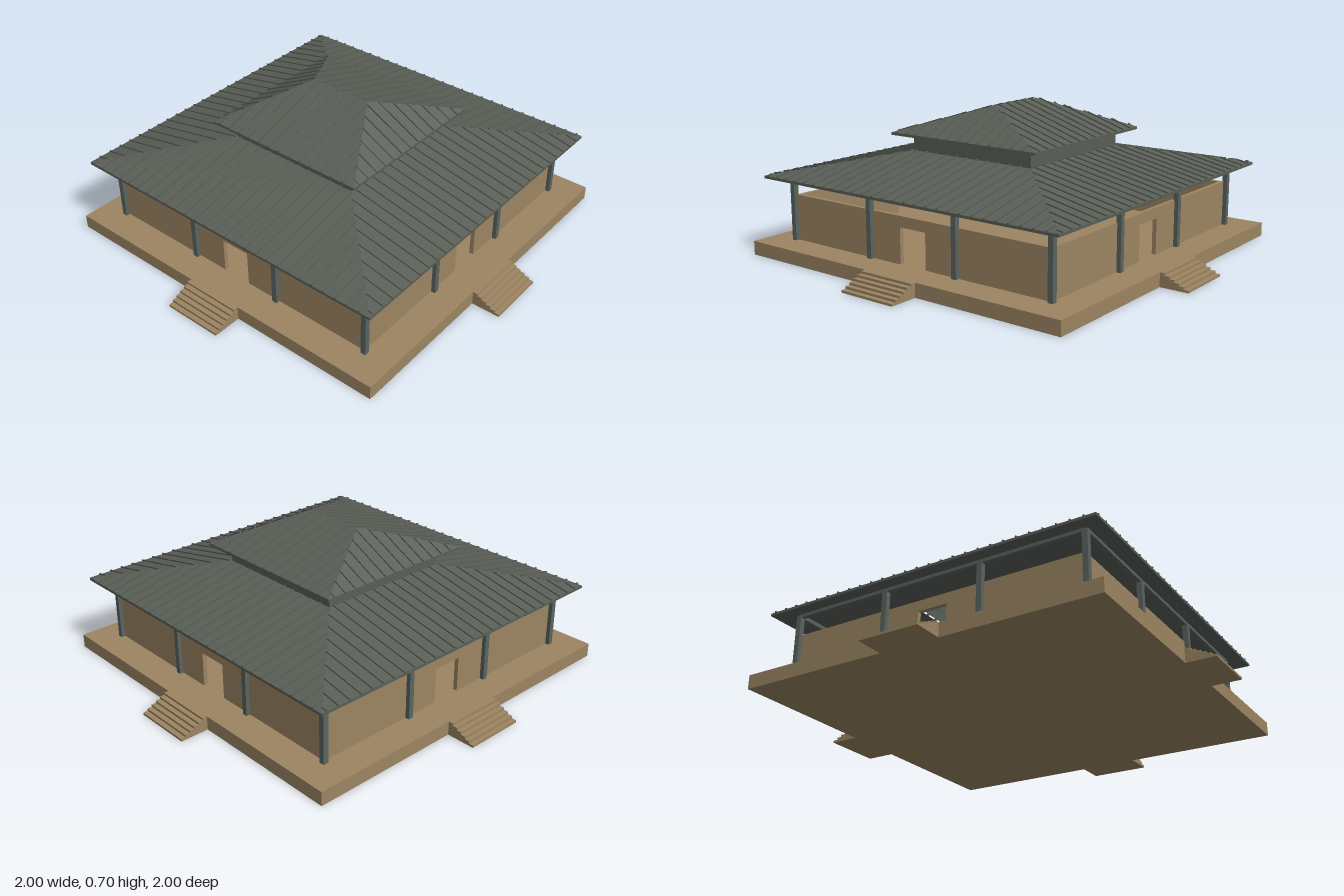
import * as THREE from 'three';

const clay = new THREE.MeshStandardMaterial({ color: 0x9c8562 });
clay.name = 'clay';
const sheet = new THREE.MeshStandardMaterial({ color: 0x595e56 });
sheet.name = 'roof metal';
const steel = new THREE.MeshStandardMaterial({ color: 0x5a6460 });
steel.name = 'post metal';

const FLOOR = 0.065;

function add(parent, name, geometry, material, x = 0, y = 0, z = 0) {
  const mesh = new THREE.Mesh(geometry, material);
  mesh.name = name;
  mesh.position.set(x, y, z);
  parent.add(mesh);
  return mesh;
}

// Rectangular rings [halfX, y, halfZ] joined in order, facing outward when rising
function ringLoft(rings) {
  const corner = ([x, y, z], k) => [[-x, y, z], [x, y, z], [x, y, -z], [-x, y, -z]][k % 4];
  const pos = [];
  for (let r = 0; r < rings.length - 1; r++) {
    for (let k = 0; k < 4; k++) {
      const a = corner(rings[r], k), b = corner(rings[r], k + 1);
      const c = corner(rings[r + 1], k + 1), d = corner(rings[r + 1], k);
      pos.push(...a, ...b, ...c, ...a, ...c, ...d);
    }
  }
  const g = new THREE.BufferGeometry();
  g.setAttribute('position', new THREE.Float32BufferAttribute(pos, 3));
  g.computeVertexNormals();
  return g;
}

// Hipped sheet roof with a thin edge and standing seams on all four slopes
function hipRoof(name, eave, eaveY, topX, topZ, topY, pitch) {
  const group = new THREE.Group();
  group.name = name;
  const t = 0.012;
  add(group, name + 'Sheet', ringLoft([
    [topX, topY - t, topZ], [eave, eaveY - t, eave], [eave, eaveY, eave], [topX, topY, topZ],
  ]), sheet);

  for (let side = 0; side < 4; side++) {
    const slope = new THREE.Group();
    slope.name = name + 'Seams';
    slope.rotation.y = side * Math.PI / 2;
    // half width and depth of this slope's upper edge
    const [w, d] = side % 2 ? [topZ, topX] : [topX, topZ];
    const n = Math.floor((eave - 0.02) / pitch);
    for (let i = -n; i <= n; i++) {
      const x = i * pitch - 0.015;
      const f = Math.min(1, (eave - Math.abs(x)) / (eave - w)); // seam stops at the hip
      if (f < 0.03) continue;
      const run = f * (eave - d), rise = f * (topY - eaveY);
      const seam = add(slope, 'seam', new THREE.BoxGeometry(0.006, 0.008, Math.hypot(run, rise)), sheet,
        x, eaveY + rise / 2 + 0.002, eave - run / 2);
      seam.rotation.x = Math.atan2(rise, run);
    }
    group.add(slope);
  }
  return group;
}

// Wall panel with a doorway open to the floor
function wallGeometry(half, height, doorHalf, doorHeight, thickness) {
  const s = new THREE.Shape([
    [-half, 0], [-doorHalf, 0], [-doorHalf, doorHeight], [doorHalf, doorHeight],
    [doorHalf, 0], [half, 0], [half, height], [-half, height],
  ].map(([x, y]) => new THREE.Vector2(x, y)));
  return new THREE.ExtrudeGeometry(s, { depth: thickness, bevelEnabled: false });
}

// Stair profile, extruded across its width, descending toward +z
function stairGeometry(width, start, end, steps) {
  const s = new THREE.Shape();
  const run = (end - start) / steps, rise = FLOOR / steps;
  s.moveTo(start, 0);
  s.lineTo(end, 0);
  for (let i = 0; i < steps; i++) {
    s.lineTo(end - i * run, (i + 1) * rise);
    s.lineTo(end - (i + 1) * run, (i + 1) * rise);
  }
  s.closePath();
  const g = new THREE.ExtrudeGeometry(s, { depth: width, bevelEnabled: false });
  g.translate(0, 0, -width / 2);
  g.rotateY(-Math.PI / 2);
  return g;
}

export function createModel() {
  const model = new THREE.Group();
  model.name = 'pavilion';

  add(model, 'platform', new THREE.BoxGeometry(1.728, FLOOR, 1.728), clay, 0, FLOOR / 2, 0);

  // Four identical sides: stairs, wall, posts and eave beam
  const stairs = stairGeometry(0.285, 0.864, 1, 6);
  const wall = wallGeometry(0.72, 0.215, 0.072, 0.165, 0.02);
  const post = new THREE.BoxGeometry(0.025, 0.305, 0.025);
  const beam = new THREE.BoxGeometry(1.455, 0.018, 0.02);
  for (let i = 0; i < 4; i++) {
    const side = new THREE.Group();
    side.name = ['front', 'left', 'back', 'right'][i] + 'Side';
    side.rotation.y = i * Math.PI / 2;
    add(side, 'stairs', stairs, clay);
    add(side, 'wall', wall, clay, 0, FLOOR, 0.7);
    add(side, 'eaveBeam', beam, steel, 0, 0.371, 0.727);
    for (const x of [-0.727, -0.242, 0.242]) {
      add(side, 'post', post, steel, x, FLOOR + 0.1525, 0.727);
    }
    model.add(side);
  }

  // Two roof tiers with a raised band between them
  model.add(hipRoof('lowerRoof', 0.82, 0.372, 0.338, 0.338, 0.473, 0.06));
  const band = ringLoft([[0.325, 0.46, 0.325], [0.325, 0.57, 0.325], [0.338, 0.57, 0.338]].slice(0, 2));
  band.scale(1.035, 1, 1.035);
  const bandMaterial = sheet;
  add(model, 'raisedBand', band, bandMaterial);
  const inner = band.clone().scale(-0.97, 1, 0.97);
  inner.computeVertexNormals();
  add(model, 'raisedBandInside', inner, bandMaterial);
  model.add(hipRoof('upperRoof', 0.41, 0.56, 0.155, 0, 0.692, 0.06));

  return model;
}
